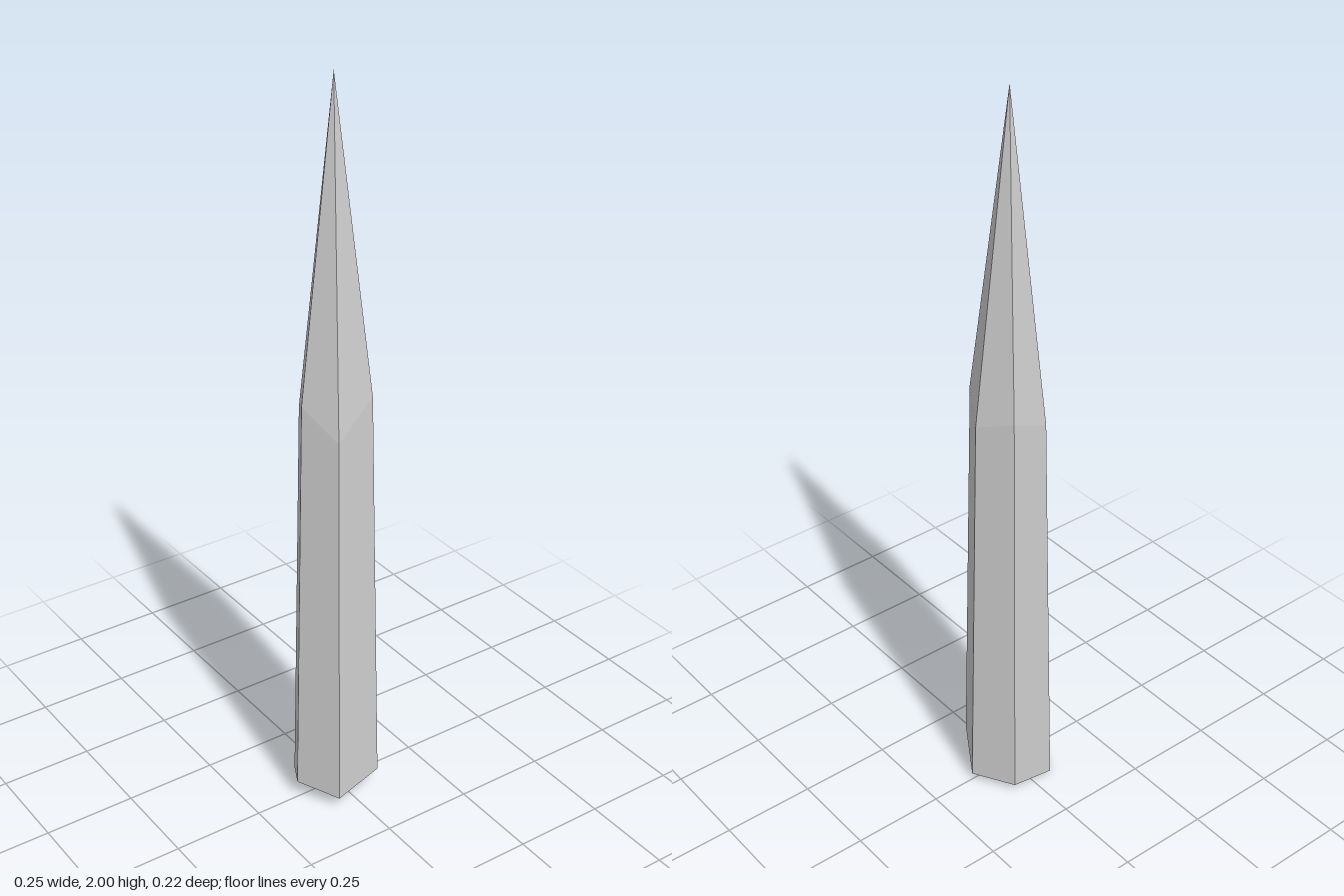
import * as THREE from 'three';

const SIDES = 6;

// Hexagonal ring whose corners sit at uneven heights
function ring(radius, heights) {
  return heights.map((y, i) => {
    const a = (i / SIDES) * Math.PI * 2;
    return [radius * Math.cos(a), y, radius * Math.sin(a)];
  });
}

export function createModel() {
  const group = new THREE.Group();
  group.name = 'crystalSpike';

  // Corners run from +x towards +z
  const base = ring(0.125, [0.02, 0.08, 0.035, 0.05, 0, 0.02]);
  const shoulder = ring(0.1, [1.14, 1.2, 1.1, 1.18, 1.13, 1.17]);
  const tip = [-0.004, 2, -0.001];

  const points = [];
  const tri = (a, b, c) => points.push(...a, ...b, ...c);

  for (let i = 0; i < SIDES; i++) {
    const j = (i + 1) % SIDES;
    // Tapering shaft side
    tri(base[i], shoulder[i], shoulder[j]);
    tri(base[i], shoulder[j], base[j]);
    // Pointed facet
    tri(shoulder[i], tip, shoulder[j]);
  }
  // Jagged broken underside
  for (let i = 1; i < SIDES - 1; i++) tri(base[0], base[i], base[i + 1]);

  const geometry = new THREE.BufferGeometry();
  geometry.setAttribute('position', new THREE.Float32BufferAttribute(points, 3));
  geometry.computeVertexNormals();

  const crystal = new THREE.Mesh(
    geometry,
    new THREE.MeshStandardMaterial({ color: 0xcccccc, flatShading: true })
  );
  crystal.name = 'crystal';
  group.add(crystal);
  return group;
}
